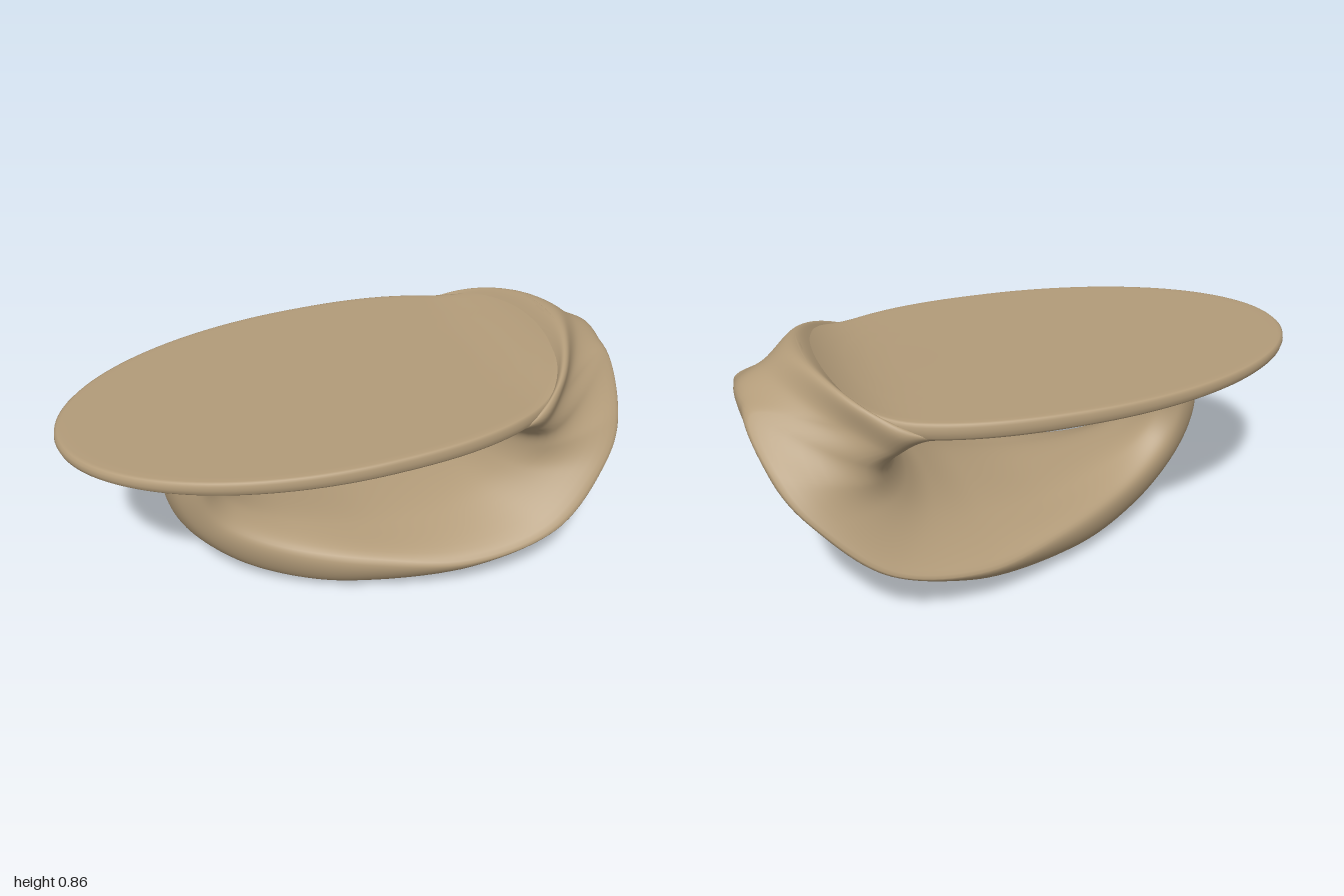
import * as THREE from 'three';

// Surface from closed rings of points, rings joined in order
function loft(rings) {
  const n = rings[0].length, pos = [], index = [];
  rings.forEach(r => r.forEach(p => pos.push(p.x, p.y, p.z)));
  for (let j = 0; j < rings.length - 1; j++) {
    for (let i = 0; i < n; i++) {
      const a = j * n + i, b = j * n + (i + 1) % n;
      index.push(a, b, a + n, b, b + n, a + n);
    }
  }
  const g = new THREE.BufferGeometry();
  g.setAttribute('position', new THREE.Float32BufferAttribute(pos, 3));
  g.setIndex(index);
  g.computeVertexNormals();
  return g;
}

// Each station: inner x, y, outer x, y, then three (t, half width) pairs between them
const legStations = [
  [0.15, 0.69, 0.15, 0.71, 0.3, 0.28, 0.6, 0.32, 0.9, 0.3],
  [0.0, 0.655, 0.0, 0.705, 0.2, 0.26, 0.5, 0.3, 0.9, 0.28],
  [-0.27, 0.635, -0.3, 0.676, 0.1, 0.19, 0.5, 0.23, 0.9, 0.21],
  [-0.445, 0.59, -0.595, 0.62, 0.1, 0.11, 0.5, 0.15, 0.9, 0.12],
  [-0.493, 0.48, -0.672, 0.45, 0.08, 0.09, 0.42, 0.14, 0.85, 0.1],
  [-0.43, 0.37, -0.605, 0.24, 0.07, 0.1, 0.4, 0.16, 0.8, 0.12],
  [-0.27, 0.287, -0.4, 0.062, 0.06, 0.14, 0.3, 0.24, 0.8, 0.18],
  [0.0, 0.24, -0.1, 0.001, 0.05, 0.22, 0.25, 0.37, 0.78, 0.3],
  [0.24, 0.272, 0.35, 0.05, 0.1, 0.27, 0.46, 0.485, 0.8, 0.41],
];
const neckStations = [
  [0.39, 0.338, 0.68, 0.22, 0.15, 0.28, 0.76, 0.515, 0.93, 0.38],
  [0.465, 0.405, 0.87, 0.43, 0.2, 0.31, 0.9, 0.445, 0.97, 0.28],
  [0.498, 0.475, 0.955, 0.57, 0.25, 0.35, 0.95, 0.34, 0.985, 0.2],
  [0.495, 0.515, 1.0, 0.73, 0.25, 0.37, 0.93, 0.165, 0.98, 0.085],
  [0.455, 0.56, 0.9, 0.805, 0.25, 0.4, 0.6, 0.31, 0.9, 0.13],
  [0.38, 0.6, 0.787, 0.86, 0.3, 0.45, 0.65, 0.38, 0.93, 0.19],
  [0.25, 0.635, 0.63, 0.75, 0.3, 0.45, 0.6, 0.455, 0.9, 0.37],
  [0.06, 0.653, 0.35, 0.725, 0.3, 0.42, 0.7, 0.45, 0.9, 0.38],
  [-0.1, 0.69, 0.05, 0.71, 0.3, 0.38, 0.6, 0.4, 0.9, 0.36],
];

// Swept loop: one smooth rail per section point, then a rounded section at each step
function baseGeometry() {
  const sections = [...legStations, ...neckStations].map(([ix, iy, ox, oy, ...p]) => {
    const at = (t, z) => new THREE.Vector3(ix + (ox - ix) * t, iy + (oy - iy) * t, z);
    const [ta, za, tb, zb, tc, zc] = p;
    return [at(0, 0), at(ta, za), at(tb, zb), at(tc, zc),
      at(1, 0), at(tc, -zc), at(tb, -zb), at(ta, -za)];
  });
  const rails = sections[0].map((_, k) =>
    new THREE.CatmullRomCurve3(sections.map(s => s[k]), false, 'catmullrom', 0.5));
  const rings = [], steps = 170, sides = 72;
  for (let j = 0; j <= steps; j++) {
    const section = new THREE.CatmullRomCurve3(rails.map(r => r.getPoint(j / steps)), true, 'centripetal');
    rings.push(Array.from({ length: sides }, (_, i) => section.getPoint(i / sides)));
  }
  return loft(rings);
}

// Oval slab whose right end sweeps up into a lip
function topGeometry() {
  const profile = [[0, 0], [0.3, 0], [0.6, 0], [0.8, 0], [0.9, 0], [0.97, 0], [0.985, 0.05],
    [0.995, 0.2], [1, 0.5], [0.997, 0.8], [0.988, 0.95], [0.975, 1], [0.94, 1], [0.88, 1],
    [0.8, 1], [0.7, 1], [0.6, 1], [0.3, 1], [0, 1]];
  const n = 128;
  return loft(profile.map(([s, k]) => Array.from({ length: n }, (_, i) => {
    const a = i / n * Math.PI * 2, c = Math.cos(a), d = Math.sin(a);
    const e = c > 0 ? 2 / 2.5 : 1;
    const x = -0.03 + s * Math.sign(c) * Math.abs(c) ** e * (c > 0 ? 0.82 : 0.97);
    const z = -s * Math.sign(d) * Math.abs(d) ** e * 0.54;
    const lift = 0.125 * (Math.max(0, x - 0.49) / 0.3) ** 2.3;
    const low = 0.683, high = 0.739 + 0.01 * x;
    return new THREE.Vector3(x, low + (high - low) * k + lift, z);
  })));
}

export function createModel() {
  const group = new THREE.Group();
  group.name = 'sculptedTable';
  const wood = new THREE.MeshStandardMaterial({ color: 0xb29b79 });
  wood.name = 'warmTan';
  const add = (name, geometry) => {
    const mesh = new THREE.Mesh(geometry, wood);
    mesh.name = name;
    group.add(mesh);
  };
  add('tableTop', topGeometry());
  add('loopBase', baseGeometry());
  return group;
}
